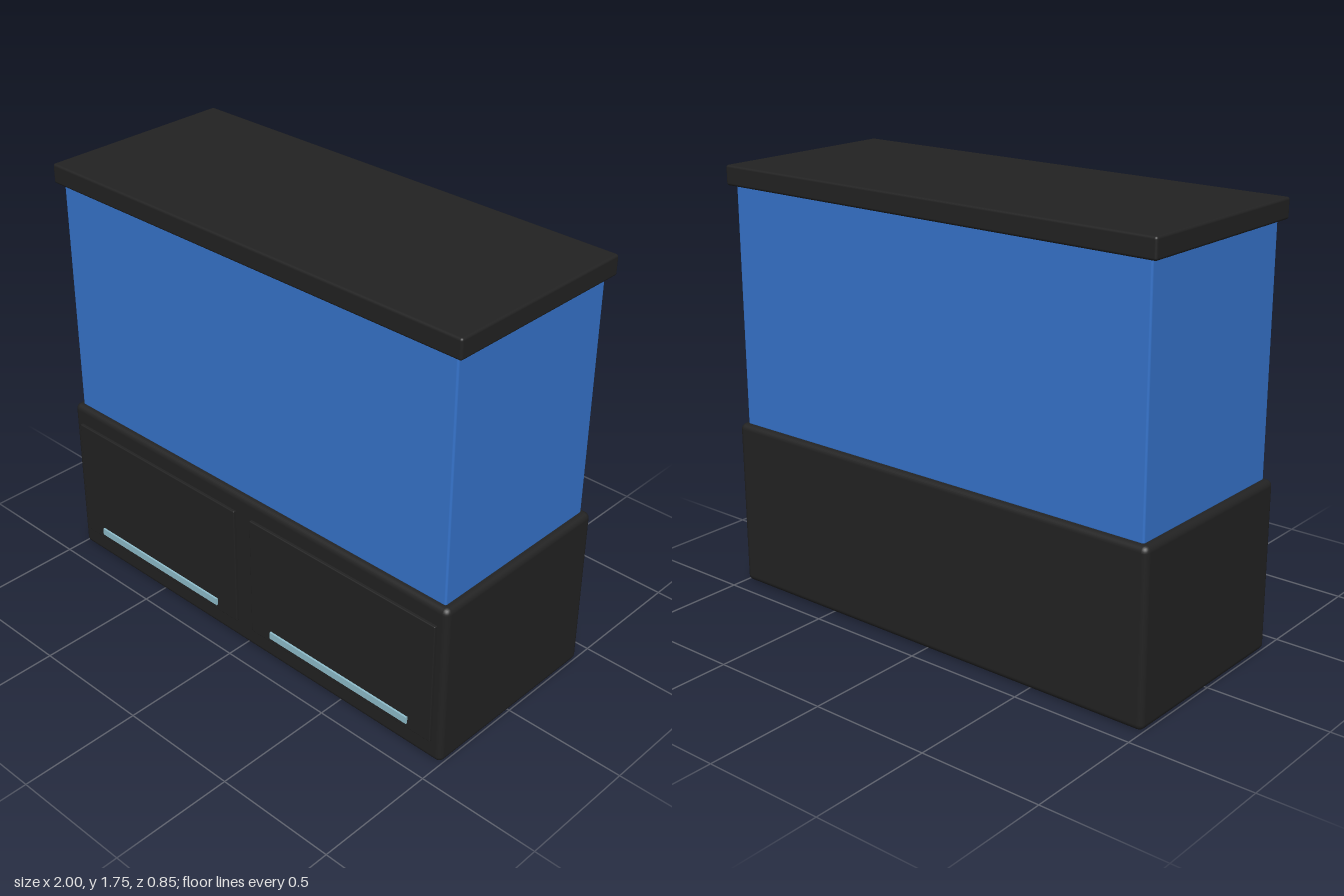
import * as THREE from 'three';
import { RoundedBoxGeometry } from 'three/addons/geometries/RoundedBoxGeometry.js';

export function createModel() {
  const group = new THREE.Group();
  group.name = 'aquariumOnCabinet';

  const material = (name, color) => {
    const m = new THREE.MeshStandardMaterial({ color });
    m.name = name;
    return m;
  };
  const black = material('black', 0x222222);
  const blue = material('waterBlue', 0x3674cc);
  const steel = material('paleSteel', 0x8fbecc);

  // Box given by its limits on each axis; a radius rounds its edges
  function box(name, mat, [x0, x1], [y0, y1], [z0, z1], radius = 0) {
    const size = [x1 - x0, y1 - y0, z1 - z0];
    const geometry = radius
      ? new RoundedBoxGeometry(...size, 3, radius)
      : new THREE.BoxGeometry(...size);
    const mesh = new THREE.Mesh(geometry, mat);
    mesh.name = name;
    mesh.position.set((x0 + x1) / 2, (y0 + y1) / 2, (z0 + z1) / 2);
    group.add(mesh);
  }

  // Main stack: cabinet, tank, lid
  box('cabinet', black, [-1, 1], [0, 0.695], [-0.425, 0.405], 0.025);
  box('tank', blue, [-0.97, 0.97], [0.69, 1.675], [-0.4, 0.38], 0.008);
  box('lid', black, [-1, 1], [1.67, 1.75], [-0.425, 0.405], 0.01);

  // Mirrored doors, each with a long handle along its lower edge
  for (const [side, s] of [['left', 1], ['right', -1]]) {
    const span = (a, b) => (s > 0 ? [a, b] : [-b, -a]);
    box(side + 'Door', black, span(0.042, 0.957), [0.09, 0.615], [0.395, 0.417], 0.004);
    box(side + 'Handle', steel, span(0.15, 0.85), [0.115, 0.145], [0.41, 0.425]);
  }

  return group;
}
